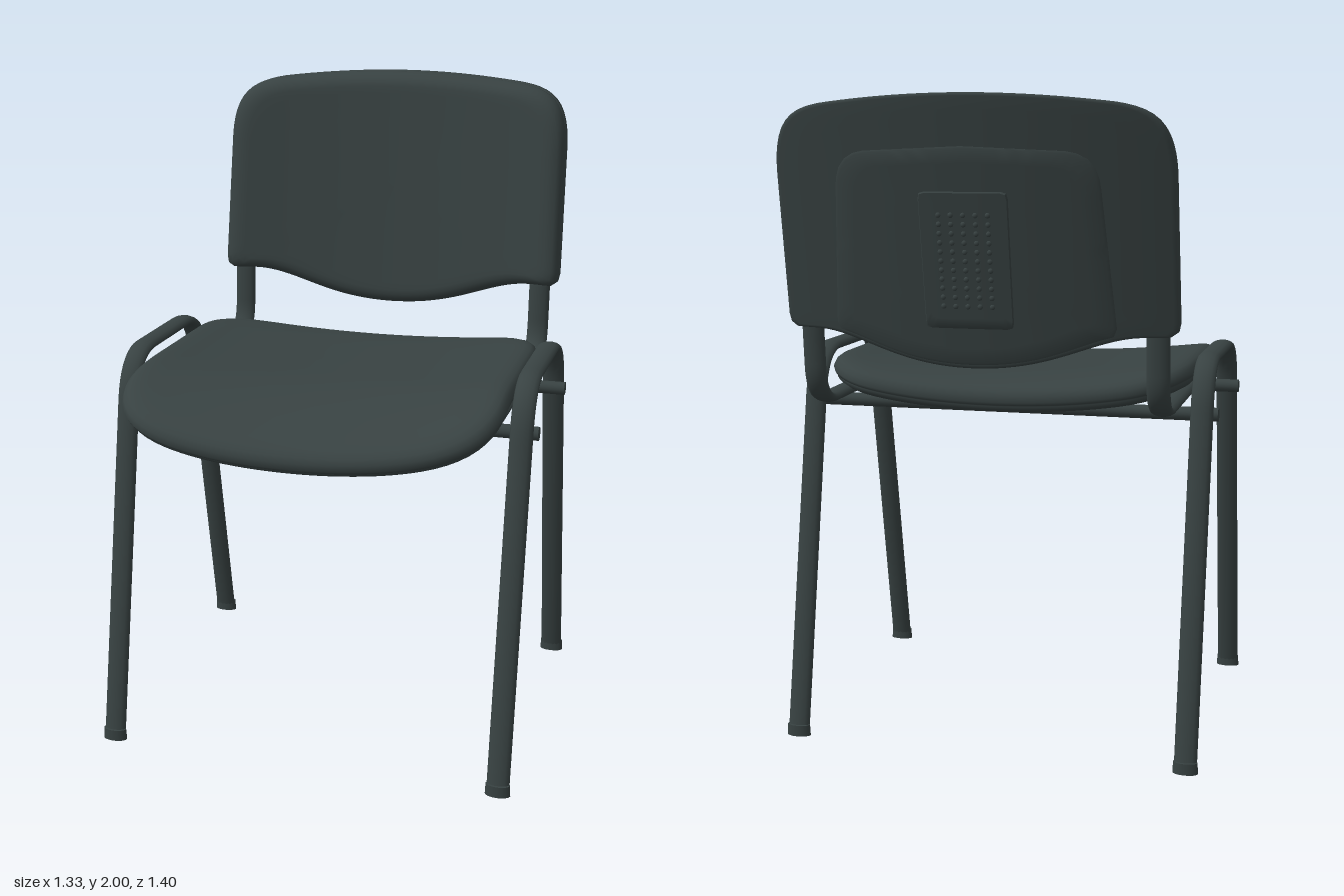
import * as THREE from 'three';
import { toCreasedNormals } from 'three/addons/utils/BufferGeometryUtils.js';

const dark = new THREE.MeshStandardMaterial({ color: 0x384242 });

function add(parent, name, geometry, x = 0, y = 0, z = 0) {
  const mesh = new THREE.Mesh(geometry, dark);
  mesh.name = name;
  mesh.position.set(x, y, z);
  parent.add(mesh);
  return mesh;
}

// Samples the right half of an outline (bottom centre to top centre) and mirrors it
function mirrored(path, n) {
  const half = path.getSpacedPoints(n);
  const left = half.slice(1, -1).reverse().map(p => new THREE.Vector2(-p.x, p.y));
  return [...half, ...left];
}

// Closed padded body: rings are [outline scale, depth], warp bends them into place
function padded(outline, cy, rings, warp, crease) {
  const n = outline.length, pos = [], idx = [];
  rings.forEach(([s, t], i) => outline.forEach((p, j) => {
    pos.push(...warp(p.x * s, cy + (p.y - cy) * s, t));
    if (i === rings.length - 1) return;
    const k = (j + 1) % n, a = i * n + j, b = a + n, c = (i + 1) * n + k, d = i * n + k;
    if (s > 0) idx.push(a, c, d);
    if (rings[i + 1][0] > 0) idx.push(a, b, c);
  }));
  const g = new THREE.BufferGeometry();
  g.setAttribute('position', new THREE.Float32BufferAttribute(pos, 3));
  g.setIndex(idx);
  g.computeVertexNormals();
  return crease ? toCreasedNormals(g, crease) : g;
}

// Flat-oval tube in the side plane; each step is [z, y] or [controlZ, controlY, z, y]
function ovalTube(start, steps, segments) {
  const path = new THREE.CurvePath();
  const v = (z, y) => new THREE.Vector3(0, y, z);
  let from = v(...start);
  for (const s of steps) {
    const to = v(...s.slice(-2));
    path.add(s.length === 2 ? new THREE.LineCurve3(from, to)
      : new THREE.QuadraticBezierCurve3(from, v(s[0], s[1]), to));
    from = to;
  }
  return new THREE.TubeGeometry(path, segments, 0.017, 14).scale(2.05, 1, 1);
}

// Seat: side edges raised, front and rear rolled down; v runs towards the rear
function seatWarp(x, v, t) {
  const z = -v, f = Math.max(0, z - 0.28), b = Math.max(0, -z - 0.15);
  const y = 1.125 + 0.04 * (x / 0.58) ** 2 - 0.65 * f * f - 0.6 * b * b;
  const slope = 1.3 * f - 1.2 * b, len = Math.hypot(1, slope);
  return [x, y + t / len, z + t * slope / len];
}

// Backrest: leaning and curved round the sitter; t is 0 at the front, 1 at the rear
function backWarp(x, y, t) {
  const q = 1 - (x / 0.59) ** 2;
  const front = -0.41 - 0.15 * (y - 1.32) - 0.07 * q;
  const rear = -0.475 - 0.186 * (y - 1.22) - 0.08 * q;
  return [x, y, front + (rear - front) * t];
}

// Raised plate on the rear of the backrest
function backPlate(path, cy, low, high) {
  const inner = [0.85, 0.6, 0.4, 0.2, 0].map(s => [s, high]);
  const rings = [[1, low], [1, high - 0.03], [0.98, high], ...inner];
  return padded(mirrored(path, 40), cy, rings, backWarp, 0.6);
}

export function createModel() {
  const chair = new THREE.Group();
  chair.name = 'chair';

  // Seat cushion
  const seat = new THREE.Path().moveTo(0, -0.7)
    .bezierCurveTo(0.2, -0.7, 0.36, -0.685, 0.44, -0.655)
    .bezierCurveTo(0.54, -0.62, 0.585, -0.55, 0.585, -0.42)
    .lineTo(0.58, 0.1)
    .bezierCurveTo(0.575, 0.26, 0.5, 0.33, 0.4, 0.352)
    .bezierCurveTo(0.3, 0.375, 0.15, 0.385, 0, 0.385);
  const flat = [0, 0.15, 0.3, 0.45, 0.6, 0.72, 0.82, 0.88];
  add(chair, 'seat', padded(mirrored(seat, 60), -0.15, [
    ...flat.map(s => [s, 0.04]),
    [0.93, 0.038], [0.965, 0.031], [0.988, 0.019], [1, 0.002], [0.996, -0.008],
    [0.982, -0.011], [0.982, -0.015], [0.985, -0.025], [0.965, -0.036], [0.93, -0.04],
    ...flat.slice().reverse().map(s => [s, -0.04]),
  ], seatWarp));

  // Backrest cushion and rear shell with a seam between them
  const back = new THREE.Path().moveTo(0, 1.22)
    .bezierCurveTo(0.25, 1.22, 0.35, 1.32, 0.5, 1.32)
    .lineTo(0.555, 1.32)
    .quadraticCurveTo(0.59, 1.32, 0.59, 1.36)
    .lineTo(0.585, 1.78)
    .bezierCurveTo(0.58, 1.93, 0.52, 1.96, 0.42, 1.975)
    .quadraticCurveTo(0.2, 2, 0, 2);
  add(chair, 'backrest', padded(mirrored(back, 70), 1.62, [
    ...flat.map(s => [s, 0]),
    [0.92, 0.03], [0.96, 0.12], [0.985, 0.27], [0.998, 0.45], [0.998, 0.53], [0.985, 0.56],
    [0.985, 0.59], [1, 0.62], [1, 0.75], [1, 0.9], [0.993, 0.96], [0.975, 0.98],
    ...flat.slice().reverse().map(s => [s, 0.98]),
  ], backWarp));

  // Arched panel and grille plate on the rear of the shell
  const arch = new THREE.Path().moveTo(0, 1.232)
    .bezierCurveTo(0.22, 1.232, 0.3, 1.3, 0.42, 1.325)
    .lineTo(0.385, 1.75)
    .quadraticCurveTo(0.375, 1.835, 0.29, 1.842)
    .lineTo(0, 1.855);
  add(chair, 'backPanel', backPlate(arch, 1.55, 0.9, 1.05));
  const grille = new THREE.Path().moveTo(0, 1.34)
    .lineTo(0.115, 1.34).quadraticCurveTo(0.13, 1.34, 0.13, 1.355)
    .lineTo(0.13, 1.715).quadraticCurveTo(0.13, 1.73, 0.115, 1.73)
    .lineTo(0, 1.73);
  add(chair, 'grillePlate', backPlate(grille, 1.535, 1, 1.12));

  // Rows of small studs on the grille plate
  const studs = new THREE.Group();
  studs.name = 'grilleStuds';
  chair.add(studs);
  const studGeometry = new THREE.SphereGeometry(0.008, 8, 6).scale(1, 1, 0.6);
  for (let row = 0; row < 11; row++) {
    for (let col = -2; col <= 2; col++) {
      add(studs, 'stud', studGeometry, ...backWarp(col * 0.036, 1.405 + row * 0.026, 1.12));
    }
  }

  // Side frames: bent leg loops, feet and backrest supports
  const legLoop = ovalTube([0.59, 0.005], [
    [0.375, 1.06], [0.345, 1.21, 0.22, 1.21], [-0.07, 1.21],
    [-0.195, 1.21, -0.222, 1.06], [-0.432, 0.005],
  ], 120);
  const support = ovalTube([0.43, 1.095], [
    [-0.34, 1.085], [-0.445, 1.085, -0.458, 1.19], [-0.468, 1.32], [-0.5, 1.5],
  ], 80);
  const foot = new THREE.CylinderGeometry(0.02, 0.021, 0.035, 16).scale(1.85, 1, 1);
  const plug = new THREE.SphereGeometry(0.017, 14, 8).scale(2.05, 1, 0.4);
  for (const side of [-1, 1]) {
    const frame = new THREE.Group();
    frame.name = side > 0 ? 'leftFrame' : 'rightFrame';
    chair.add(frame);
    add(frame, 'legLoop', legLoop, side * 0.62);
    add(frame, 'frontFoot', foot, side * 0.62, 0.0175, 0.589);
    add(frame, 'rearFoot', foot, side * 0.62, 0.0175, -0.431);
    add(frame, 'backSupport', support, side * 0.525);
    add(frame, 'supportEndPlug', plug, side * 0.525, 1.095, 0.43);
  }

  // Crossbars under the seat
  const bar = new THREE.CylinderGeometry(0.021, 0.021, 1.33, 18).rotateZ(Math.PI / 2);
  add(chair, 'frontCrossbar', bar, 0, 1.06, 0.33);
  add(chair, 'rearCrossbar', bar, 0, 1.05, -0.18);

  return chair;
}
